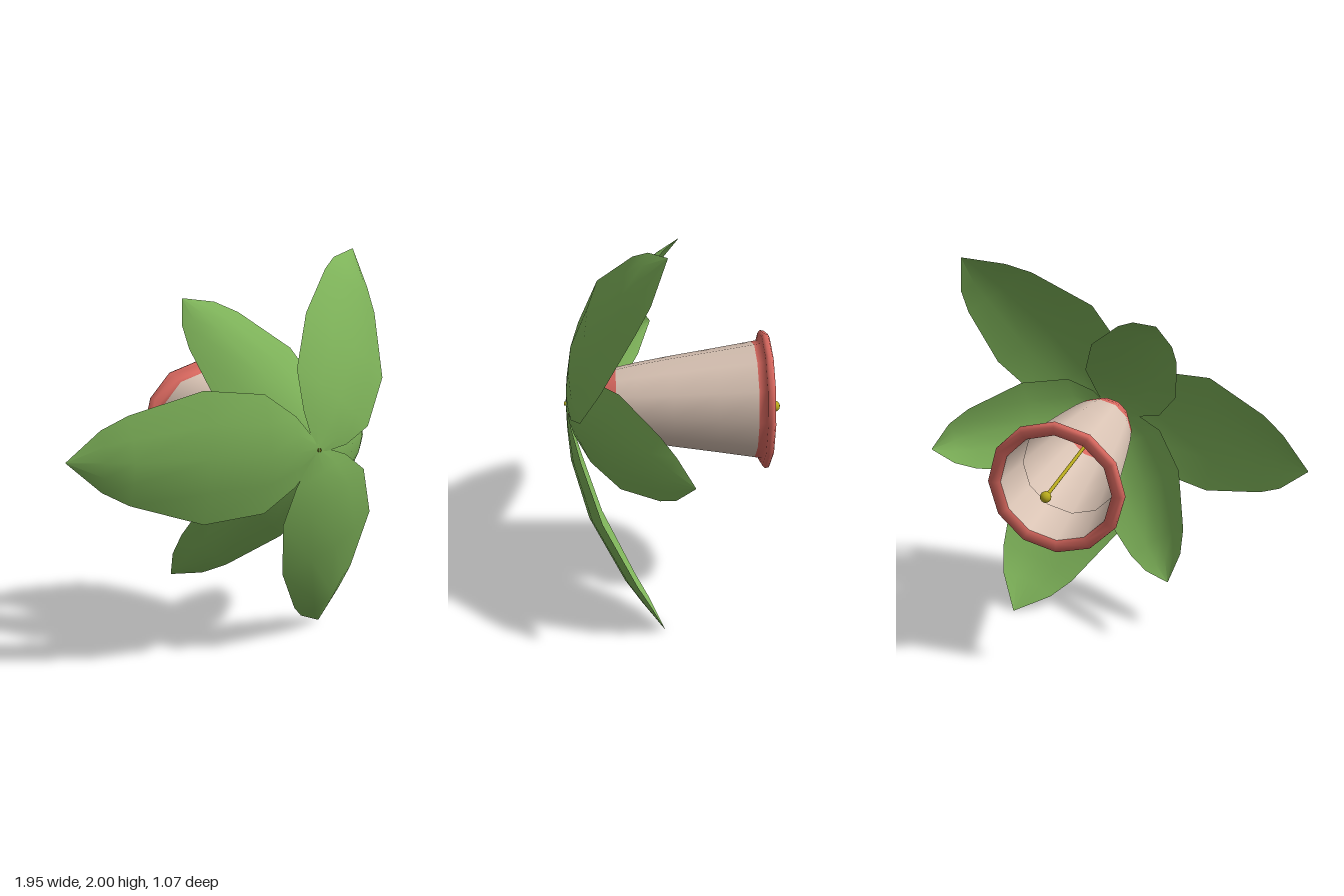
import * as THREE from 'three';

const paint = (name, color) => {
  const m = new THREE.MeshStandardMaterial({ color, side: THREE.DoubleSide });
  m.name = name;
  return m;
};

// Leaf cross-sections: [distance from centre, half width, midrib z, edge z]
const LONG_LEAF = [
  [0, 0.03, 0.522, 0.52], [0.12, 0.172, 0.518, 0.495], [0.28, 0.289, 0.503, 0.45],
  [0.57, 0.32, 0.42, 0.355], [0.885, 0.213, 0.25, 0.195], [0.995, 0.147, 0.17, 0.13], [1.14, 0.002, 0.055, 0.055],
];
const SHORT_LEAF = [
  [0, 0.025, 0.52, 0.515], [0.08, 0.135, 0.51, 0.485], [0.19, 0.23, 0.47, 0.405],
  [0.4, 0.256, 0.34, 0.265], [0.645, 0.171, 0.15, 0.09], [0.735, 0.112, 0.065, 0.02], [0.815, 0.002, -0.06, -0.06],
];

// A pointed leaf, bowed lengthwise and folded back towards its edges
function leafGeometry(sections) {
  const rows = sections.length;
  const geo = new THREE.PlaneGeometry(2, 2, rows - 1, 4);
  const pos = geo.attributes.position;
  for (let i = 0; i < pos.count; i++) {
    const [s, w, mid, edge] = sections[i % rows];
    const v = pos.getY(i);
    pos.setXYZ(i, s, w * v, mid + (edge - mid) * v * v);
  }
  geo.computeVertexNormals();
  return geo;
}

// Turned part whose axis runs along z; points are [radius, z]
function turned(name, points, material) {
  const geo = new THREE.LatheGeometry(points.map(([r, z]) => new THREE.Vector2(r, -z)), 12);
  geo.rotateX(-Math.PI / 2);
  const mesh = new THREE.Mesh(geo, material);
  mesh.name = name;
  return mesh;
}

export function createModel() {
  const green = paint('leaf green', 0x7fb45a);
  const pink = paint('coral pink', 0xd9685f);
  const cream = paint('pale cream', 0xd9c3b4);
  const yellow = paint('pistil yellow', 0xb8aa1c);

  const model = new THREE.Group();
  model.name = 'bellFlower';

  // Two alternating rings of three leaves
  const addLeaves = (name, sections, degrees) => {
    const geo = leafGeometry(sections);
    degrees.forEach((deg, i) => {
      const leaf = new THREE.Mesh(geo, green);
      leaf.name = name + (i + 1);
      leaf.position.set(0.168, 1.06, 0);
      leaf.rotation.z = THREE.MathUtils.degToRad(deg);
      model.add(leaf);
    });
  };
  addLeaves('longLeaf', LONG_LEAF, [55.7, 180, -67.7]);
  addLeaves('shortLeaf', SHORT_LEAF, [118.4, -5, -125]);

  // Bell-shaped blossom opening towards the back
  const bell = new THREE.Group();
  bell.name = 'bell';
  bell.position.set(0.165, 1.057, 0);
  bell.add(
    turned('bellBase', [[0.07, 0.513], [0.125, 0.42], [0.16, 0.33], [0.174, 0.275]], pink),
    turned('bellBody', [[0.174, 0.275], [0.195, 0.18], [0.226, 0], [0.26, -0.22], [0.29, -0.405]], cream),
    turned('bellLining', [[0.28, -0.465], [0.278, -0.405], [0.25, -0.22]], cream),
    turned('bellRim', [
      [0.29, -0.405], [0.296, -0.438], [0.332, -0.441], [0.346, -0.453],
      [0.342, -0.472], [0.325, -0.48], [0.295, -0.478], [0.28, -0.465],
    ], pink),
  );
  model.add(bell);

  // Pistil: a thin stalk with a round tip
  const start = new THREE.Vector3(0.17, 1.06, 0.53);
  const end = new THREE.Vector3(0.2, 1.03, -0.51);
  const stalk = new THREE.Mesh(new THREE.TubeGeometry(new THREE.LineCurve3(start, end), 1, 0.01, 6), yellow);
  stalk.name = 'pistilStalk';
  const tip = new THREE.Mesh(new THREE.SphereGeometry(0.028, 12, 8), yellow);
  tip.name = 'pistilTip';
  tip.position.copy(end);
  model.add(stalk, tip);

  return model;
}
